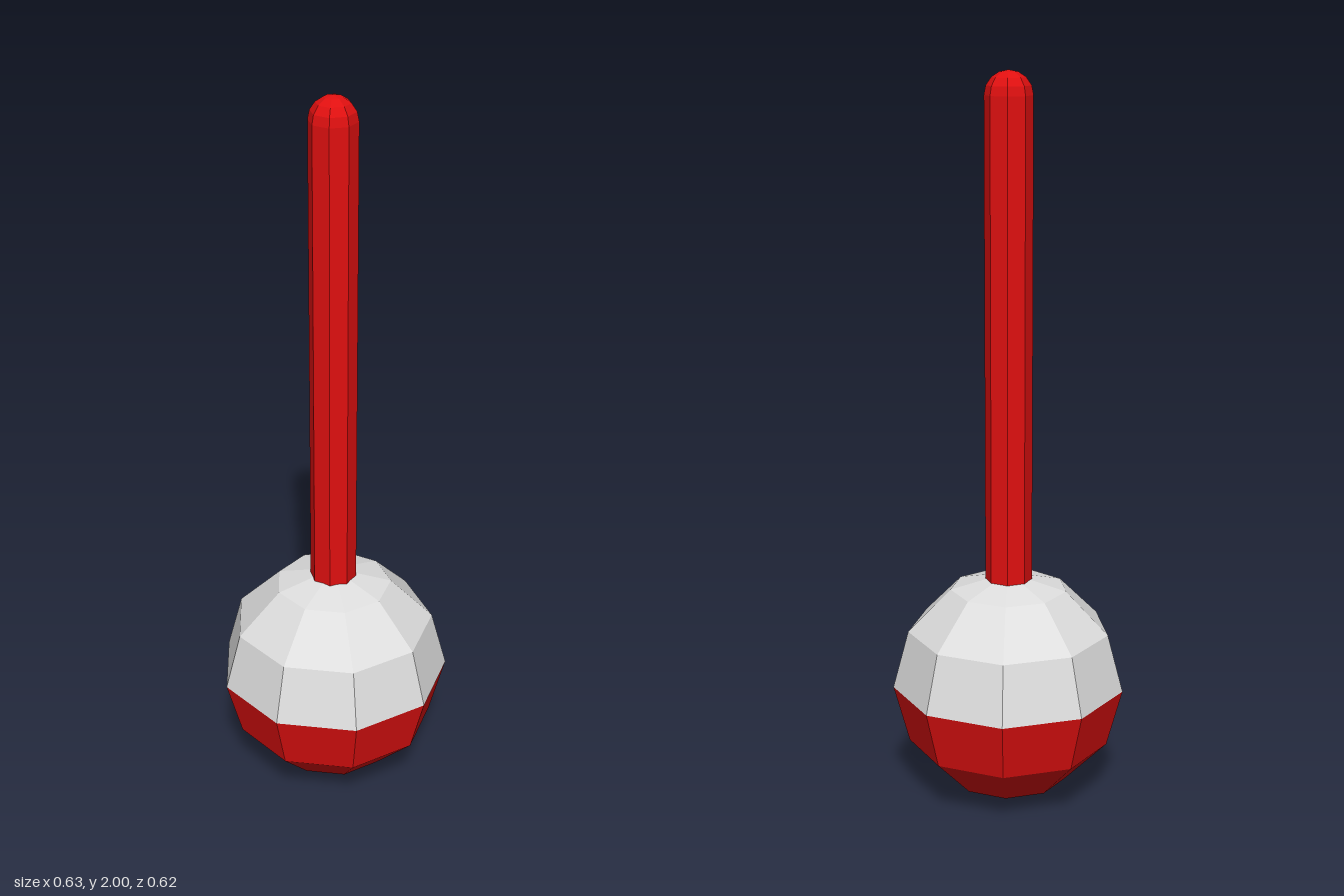
import * as THREE from 'three';

export function createModel() {
  const model = new THREE.Group();
  model.name = 'bulbOnStem';

  const red = new THREE.MeshStandardMaterial({ color: 0xe01010, flatShading: true });
  red.name = 'red';
  const white = new THREE.MeshStandardMaterial({ color: 0xdedede, flatShading: true });
  white.name = 'lightGrey';

  const R = 0.322;      // bulb radius
  const r = 0.064;      // stem radius
  const centreZ = 0.008;

  function add(name, geometry, material, y) {
    const mesh = new THREE.Mesh(geometry, material);
    mesh.name = name;
    mesh.position.set(0, y, centreZ);
    model.add(mesh);
  }

  // Nine-sided half ball with a corner pointing to the back
  const half = (start) =>
    new THREE.SphereGeometry(R, 9, 3, -Math.PI / 2, Math.PI * 2, start, Math.PI / 2);

  add('upperBulb', half(0), white, R + 0.003);
  add('lowerBulb', half(Math.PI / 2), red, R + 0.003);

  // Eight-sided round-ended stem, its lower end buried in the bulb
  const bottom = 0.4, top = 2;
  add('stem', new THREE.CapsuleGeometry(r, top - bottom - 2 * r, 4, 8), red, (top + bottom) / 2);

  return model;
}
